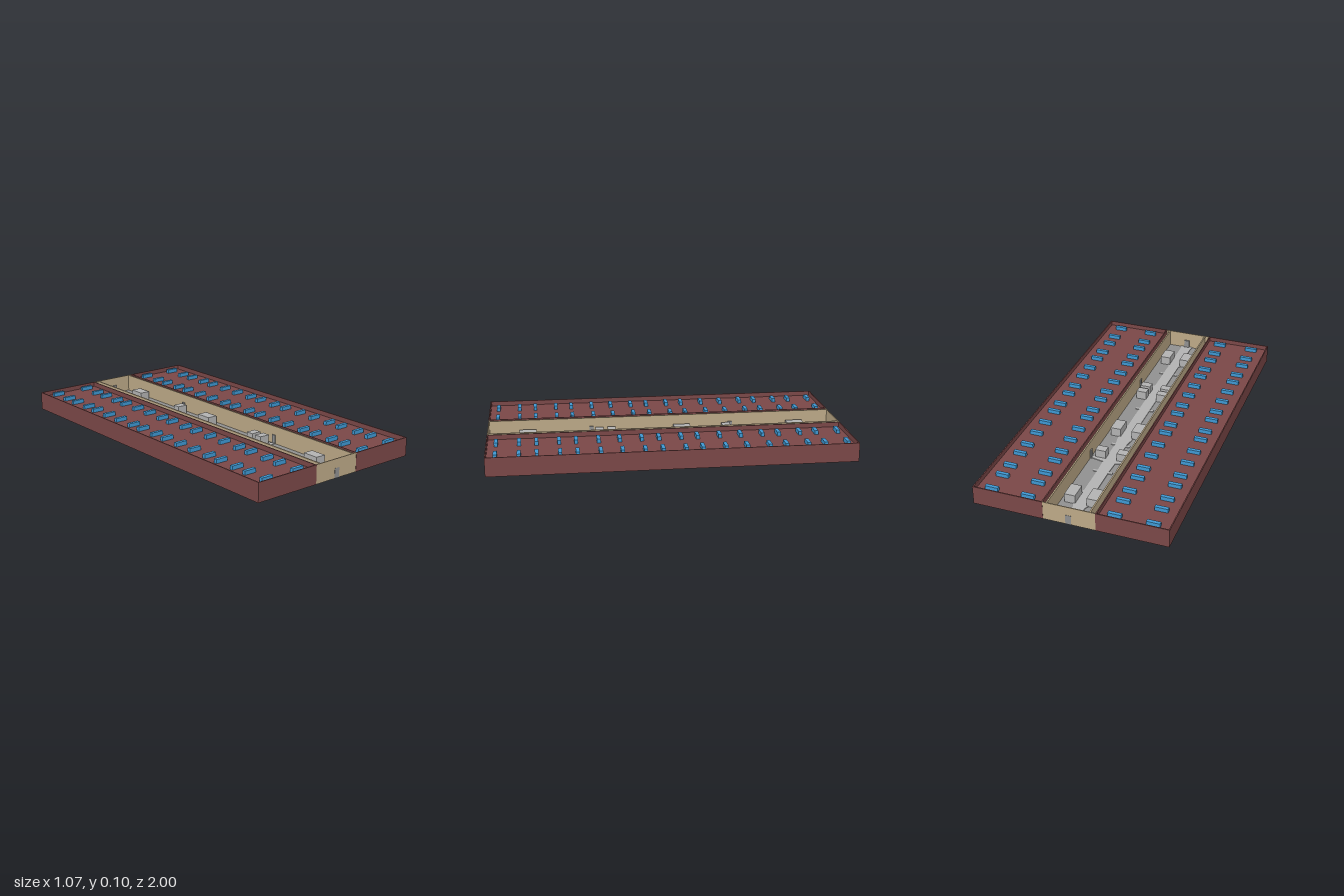
import * as THREE from 'three';

const mat = (name, color) => {
  const m = new THREE.MeshStandardMaterial({ color });
  m.name = name;
  return m;
};

export function createModel() {
  const group = new THREE.Group();
  const maroon = mat('maroon', 0x7a4747);
  const beige = mat('beige', 0xbca987);
  const blue = mat('blue', 0x3f98d2);
  const grey = mat('grey', 0x909090);
  const lightGrey = mat('light grey', 0xb2b2b2);

  // Box given by its limits on each axis
  const box = (name, material, x0, x1, y0, y1, z0, z1) => {
    const mesh = new THREE.Mesh(new THREE.BoxGeometry(x1 - x0, y1 - y0, z1 - z0), material);
    mesh.position.set((x0 + x1) / 2, (y0 + y1) / 2, (z0 + z1) / 2);
    mesh.name = name;
    group.add(mesh);
    return mesh;
  };

  const H = 0.105, ROOF = 0.078, T = 0.006;

  // Two long wings: deck with a low rim around it
  for (const [side, x0, x1] of [['right', -0.535, -0.147], ['left', 0.139, 0.53]]) {
    box(side + 'Deck', maroon, x0 + T, x1 - T, 0.001, ROOF, -1 + T, 1 - T);
    box(side + 'OuterWall', maroon, x0, x0 + T, 0, H, -1, 1);
    box(side + 'InnerWall', maroon, x1 - T, x1, 0, H, -1, 1);
    box(side + 'FrontWall', maroon, x0 + T, x1 - T, 0, H, 1 - T, 1);
    box(side + 'BackWall', maroon, x0 + T, x1 - T, 0, H, -1, -1 + T);
  }

  // Rows of small blue units, rising through the decks
  const rows = [-0.955, -0.83, -0.737, -0.615, -0.523, -0.4, -0.283, -0.158, -0.067,
    0.057, 0.152, 0.274, 0.39, 0.513, 0.606, 0.729, 0.823, 0.948];
  for (const z of rows) {
    for (const x of [-0.438, -0.234, 0.237, 0.44]) {
      box('blueUnit', blue, x - 0.036, x + 0.036, 0, 0.1, z - 0.01, z + 0.01);
    }
  }

  // Central corridor walls and ends
  box('corridorRightWall', beige, -0.122, -0.114, 0, H, -0.994, 0.994);
  box('corridorLeftWall', beige, 0.114, 0.122, 0, H, -0.994, 0.994);
  for (const s of [-1, 1]) {
    const [z0, z1] = s > 0 ? [0.994, 0.999] : [-0.999, -0.994];
    box(s > 0 ? 'frontEndWall' : 'backEndWall', beige, -0.147, 0.139, 0, H, z0, z1);
    const x = 0;
    box(s > 0 ? 'frontDoor' : 'backDoor', grey, x - 0.016, x + 0.016, 0, 0.055,
      s > 0 ? 0.985 : -1, s > 0 ? 1 : -0.985);
  }
  box('corridorFloor', grey, -0.114, 0.114, 0.001, 0.005, -0.994, 0.994);

  // Pale walkway outline: half width along z, mirrored across x
  const half = [[-0.994, 0.038], [-0.96, 0.032], [-0.86, 0.032], [-0.84, 0.042], [-0.73, 0.042],
    [-0.71, 0.032], [-0.53, 0.032], [-0.53, 0.055], [-0.515, 0.055], [-0.515, 0.032],
    [-0.43, 0.036], [-0.415, 0.11], [-0.4, 0.11], [-0.39, 0.05], [-0.35, 0.032],
    [-0.255, 0.032], [-0.255, 0.055], [-0.24, 0.055], [-0.24, 0.032], [-0.18, 0.042], [-0.06, 0.042],
    [-0.04, 0.032], [0.15, 0.032], [0.15, 0.055], [0.165, 0.055], [0.165, 0.032], [0.25, 0.032],
    [0.38, 0.04], [0.4, 0.11], [0.415, 0.11], [0.43, 0.05], [0.45, 0.032],
    [0.6, 0.032], [0.6, 0.055], [0.615, 0.055], [0.615, 0.032], [0.71, 0.032],
    [0.73, 0.042], [0.83, 0.042], [0.85, 0.032], [0.96, 0.032], [0.994, 0.038]];
  const outline = [
    ...half.map(([z, w]) => new THREE.Vector2(w, -z)),
    ...half.slice().reverse().map(([z, w]) => new THREE.Vector2(-w, -z)),
  ];
  const walkGeo = new THREE.ExtrudeGeometry(new THREE.Shape(outline), { depth: 0.005, bevelEnabled: false });
  walkGeo.rotateX(-Math.PI / 2);
  const walkway = new THREE.Mesh(walkGeo, lightGrey);
  walkway.name = 'walkway';
  walkway.position.y = 0.004;
  group.add(walkway);

  // Pale blocks standing along both sides of the walkway
  const blocks = [[-0.835, -0.738], [-0.4, -0.352], [-0.163, -0.068],
    [0.272, 0.318], [0.342, 0.388], [0.728, 0.823]];
  for (const [z0, z1] of blocks) {
    box('rightBlock', lightGrey, -0.093, -0.033, 0, 0.055, z0, z1);
    box('leftBlock', lightGrey, 0.031, 0.091, 0, 0.055, z0, z1);
  }

  // Thin door panels beside the cross passages
  for (const z of [-0.408, 0.408]) {
    for (const s of [-1, 1]) {
      const x = s * 0.111;
      box('sideDoor', grey, x - 0.003, x + 0.003, 0.005, 0.055, z - 0.012, z + 0.012);
    }
  }

  return group;
}
